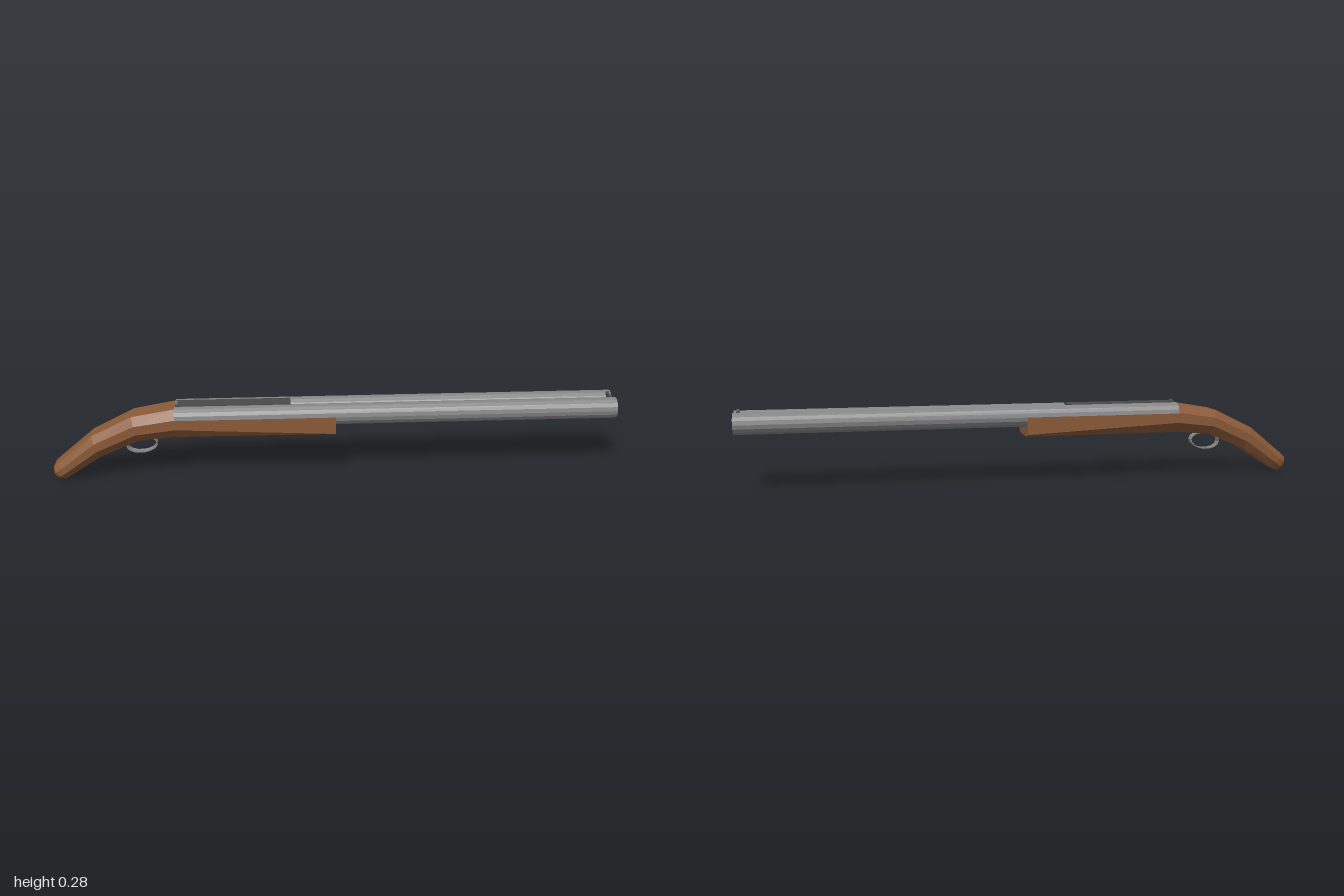
import * as THREE from 'three';

const material = (color) => new THREE.MeshStandardMaterial({ color, flatShading: true });
const wood = material(0x8b5a38);
const steel = material(0x858585);
const darkSteel = material(0x4a4a4a);

const BREECH = -0.56, MUZZLE = 1, BORE_Y = 0.23, BORE_Z = 0.037;

function addPart(group, name, geometry, mat) {
  const mesh = new THREE.Mesh(geometry, mat);
  mesh.name = name;
  group.add(mesh);
  return mesh;
}

// Extrudes a (side, up) outline along x from x0 to x1.
function extrudeAlongX(shape, x0, x1, curveSegments = 8) {
  return new THREE.ExtrudeGeometry(shape, { depth: x1 - x0, bevelEnabled: false, curveSegments })
    .rotateY(Math.PI / 2).translate(x0, 0, 0);
}

// Flat ring outline, round or oval.
function ring(rx, ry, wall) {
  const shape = new THREE.Shape().absellipse(0, 0, rx, ry, 0, Math.PI * 2);
  shape.holes.push(new THREE.Path().absellipse(0, 0, rx - wall, ry - wall, 0, Math.PI * 2));
  return shape;
}

// Skins eight-cornered cross-sections given as [topX, topY, bottomX, bottomY, halfWidth].
function loft(sections) {
  const outline = [[0.62, 0], [1, 0.35], [1, 0.7], [0.6, 1], [-0.6, 1], [-1, 0.7], [-1, 0.35], [-0.62, 0]];
  const n = outline.length, positions = [], index = [];
  for (const [tx, ty, bx, by, w] of sections) {
    for (const [side, t] of outline) positions.push(bx + (tx - bx) * t, by + (ty - by) * t, side * w);
  }
  for (let s = 0; s < sections.length - 1; s++) {
    for (let i = 0; i < n; i++) {
      const a = s * n + i, b = s * n + (i + 1) % n;
      index.push(a, a + n, b, b, a + n, b + n);
    }
  }
  const last = (sections.length - 1) * n;
  for (let i = 1; i < n - 1; i++) {
    index.push(0, i, i + 1, last, last + i + 1, last + i);
  }
  const geometry = new THREE.BufferGeometry();
  geometry.setAttribute('position', new THREE.Float32BufferAttribute(positions, 3));
  geometry.setIndex(index.reverse());
  const flat = geometry.toNonIndexed();
  flat.computeVertexNormals();
  return flat;
}

// Fore-end with two half-round channels that cradle the barrels.
function foreEndGeometry() {
  const r = 0.034;
  const shape = new THREE.Shape();
  shape.moveTo(-0.05, 0.159);
  shape.lineTo(0.05, 0.159);
  shape.lineTo(0.074, 0.168);
  shape.lineTo(0.074, BORE_Y);
  shape.lineTo(BORE_Z + r, BORE_Y);
  shape.absarc(BORE_Z, BORE_Y, r, 0, -Math.PI, true);
  shape.lineTo(-BORE_Z + r, BORE_Y);
  shape.absarc(-BORE_Z, BORE_Y, r, 0, -Math.PI, true);
  shape.lineTo(-0.074, BORE_Y);
  shape.lineTo(-0.074, 0.168);
  const geometry = extrudeAlongX(shape, BREECH, 0);
  // The lower chamfer grows towards the breech.
  const p = geometry.attributes.position;
  for (let i = 0; i < p.count; i++) {
    if (p.getX(i) > -0.1) continue;
    if (p.getY(i) < 0.163) p.setZ(i, p.getZ(i) * 0.92);
    else if (p.getY(i) < 0.175) p.setY(i, 0.196);
  }
  geometry.computeVertexNormals();
  return geometry;
}

// Notched sight blade outline.
function sightShape(halfWidth) {
  const half = [[halfWidth, 0.252], [halfWidth, 0.268], [0.016, 0.27], [0.009, 0.275], [0.007, 0.268]];
  const mirrored = half.map(([z, y]) => [-z, y]).reverse();
  return new THREE.Shape([...half, ...mirrored].map(([z, y]) => new THREE.Vector2(z, y)));
}

export function createModel() {
  const model = new THREE.Group();
  model.name = 'doubleBarrelShotgun';

  // Curved grip, from the breech back to the rounded butt
  addPart(model, 'gripStock', loft([
    [BREECH, 0.262, BREECH, 0.16, 0.074],
    [-0.71, 0.236, -0.69, 0.147, 0.07],
    [-0.855, 0.165, -0.825, 0.088, 0.061],
    [-0.98, 0.063, -0.94, 0.014, 0.054],
    [-0.997, 0.048, -0.958, 0.002, 0.048],
    [-1, 0.03, -0.975, 0, 0.036],
  ]), wood);
  addPart(model, 'foreEnd', foreEndGeometry(), wood);

  // Paired open barrels with a half plate closing each breech
  for (const side of [1, -1]) {
    const name = side > 0 ? 'left' : 'right';
    const barrel = addPart(model, name + 'Barrel',
      extrudeAlongX(ring(0.037, 0.037, 0.006), BREECH, MUZZLE), steel);
    barrel.position.set(0, BORE_Y, side * BORE_Z);

    const half = new THREE.Shape().absarc(0, 0, 0.033, Math.PI, Math.PI * 2);
    const plate = addPart(model, name + 'BreechPlate',
      extrudeAlongX(half, BREECH, BREECH + 0.01), steel);
    plate.position.set(0, BORE_Y, side * BORE_Z);
  }

  // Top rib and sights
  const rib = addPart(model, 'topRib', new THREE.BoxGeometry(0.4, 0.014, 0.057), darkSteel);
  rib.position.set(-0.356, 0.2615, 0);
  addPart(model, 'rearSight', extrudeAlongX(sightShape(0.0285), -0.556, -0.55), darkSteel);
  addPart(model, 'frontSight', extrudeAlongX(sightShape(0.022), 0.98, 0.988), darkSteel);

  // Oval trigger guard
  const guard = addPart(model, 'triggerGuard',
    new THREE.ExtrudeGeometry(ring(0.056, 0.032, 0.004), { depth: 0.026, bevelEnabled: false, curveSegments: 8 })
      .translate(0, 0, -0.013), steel);
  guard.position.set(-0.684, 0.119, 0);
  guard.rotation.z = 0.1;

  return model;
}
